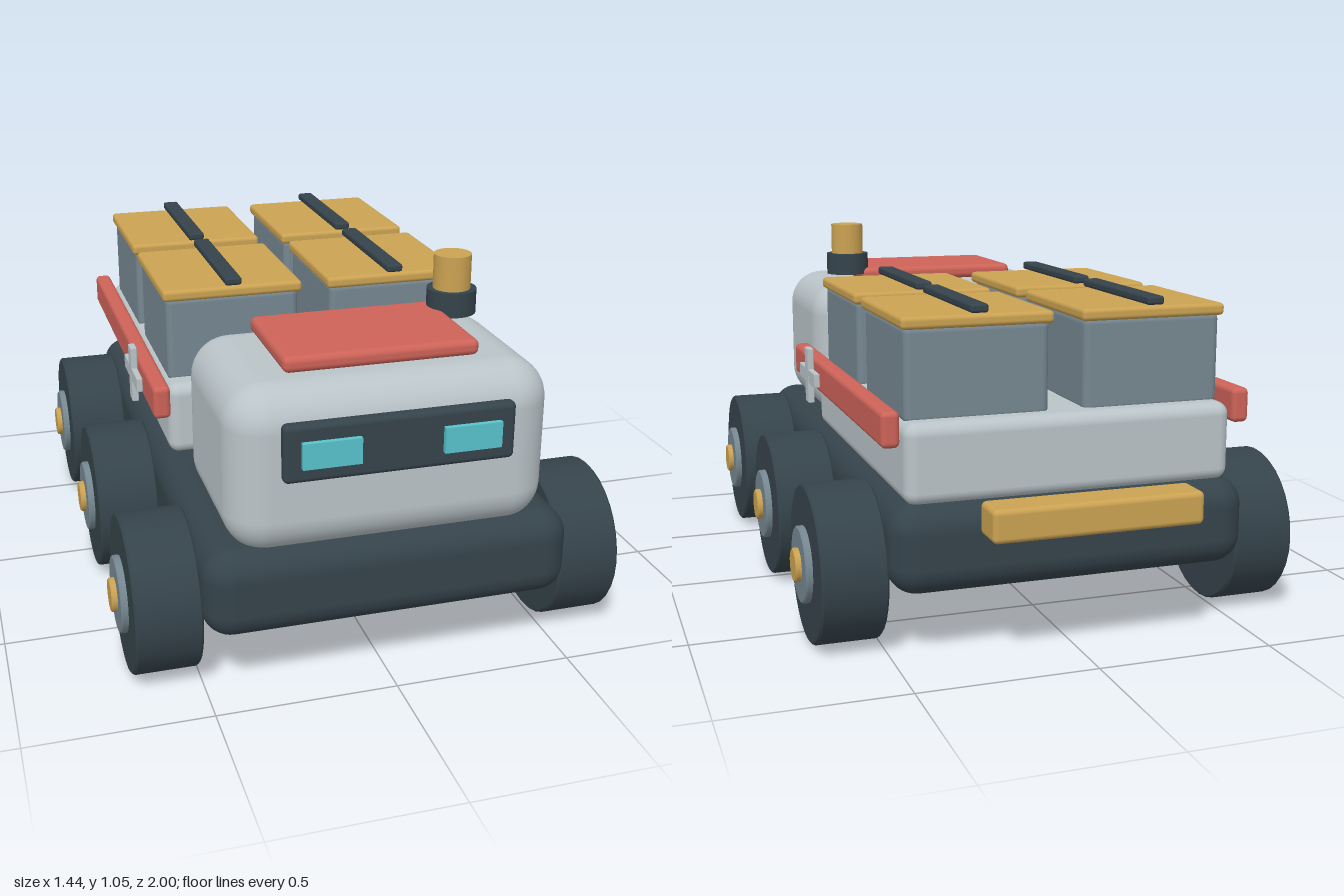
import * as THREE from 'three';
import { RoundedBoxGeometry } from 'three/addons/geometries/RoundedBoxGeometry.js';

const mat = (name, color) => {
  const m = new THREE.MeshStandardMaterial({ color });
  m.name = name;
  return m;
};

export function createModel() {
  const dark = mat('charcoal', 0x35434b);
  const light = mat('pale grey', 0xbac4c8);
  const steel = mat('steel grey', 0x768791);
  const gold = mat('ochre', 0xcba252);
  const red = mat('coral red', 0xcd6358);
  const cyan = mat('lamp cyan', 0x58c3cc);

  const model = new THREE.Group();
  model.name = 'cargoRover';

  const add = (parent, name, geometry, material, x, y, z) => {
    const mesh = new THREE.Mesh(geometry, material);
    mesh.name = name;
    mesh.position.set(x, y, z);
    parent.add(mesh);
    return mesh;
  };
  // Rounded box given by size, centre and edge radius
  const block = (parent, name, material, [w, h, d], [x, y, z], r, seg = 3) =>
    add(parent, name, new RoundedBoxGeometry(w, h, d, seg, r), material, x, y, z);

  // Disc lying along x with a small bevel on its rims
  const disc = (parent, name, material, radius, x0, x1, bevel) => {
    const h = (x1 - x0) / 2;
    const b = bevel;
    const profile = [[0, -h], [radius - b, -h], [radius - b, -h], [radius, -h + b], [radius, -h + b],
      [radius, h - b], [radius, h - b], [radius - b, h], [radius - b, h], [0, h]];
    const geo = new THREE.LatheGeometry(profile.map(p => new THREE.Vector2(...p)), 32);
    geo.rotateZ(-Math.PI / 2);
    return add(parent, name, geo, material, (x0 + x1) / 2, 0, 0);
  };

  // Body
  block(model, 'chassis', dark, [1.02, 0.25, 1.82], [0, 0.305, 0.06], 0.08, 5);
  block(model, 'cabin', light, [0.88, 0.46, 0.56], [0, 0.63, 0.677], 0.11, 6);
  block(model, 'cargoBed', light, [0.93, 0.22, 1.085], [0, 0.53, -0.267], 0.035, 4);
  block(model, 'roofPanel', red, [0.535, 0.045, 0.36], [0, 0.882, 0.65], 0.018);
  block(model, 'rearBumper', gold, [0.585, 0.09, 0.11], [0, 0.407, -0.945], 0.015);

  // Face panel and lamps
  block(model, 'facePanel', dark, [0.62, 0.157, 0.04], [0, 0.705, 0.965], 0.015);
  for (const s of [1, -1]) {
    add(model, s > 0 ? 'leftLamp' : 'rightLamp', new THREE.BoxGeometry(0.155, 0.07, 0.02), cyan, s * 0.188, 0.705, 0.99);
  }

  // Roof beacon
  const beacon = new THREE.Group();
  beacon.name = 'beacon';
  beacon.position.set(0.305, 0, 0.527);
  model.add(beacon);
  add(beacon, 'beaconBase', new THREE.CylinderGeometry(0.07, 0.07, 0.07, 28), dark, 0, 0.92, 0);
  add(beacon, 'beaconLight', new THREE.CylinderGeometry(0.053, 0.053, 0.1, 28), gold, 0, 1.004, 0);

  // Crates with lids and straps, two by two
  for (const x of [-0.25, 0.25]) {
    for (const z of [-0.012, -0.535]) {
      const crate = new THREE.Group();
      crate.name = 'crate';
      crate.position.set(x, 0, z);
      model.add(crate);
      block(crate, 'crateBody', steel, [0.4, 0.26, 0.43], [0, 0.755, 0], 0.02);
      block(crate, 'crateLid', gold, [0.42, 0.034, 0.45], [0, 0.893, 0], 0.012);
      block(crate, 'crateStrap', dark, [0.05, 0.024, 0.456], [0, 0.925, 0], 0.008);
    }
  }

  // Side rails, cross emblems and wheels
  for (const s of [1, -1]) {
    block(model, 'sideRail', red, [0.05, 0.097, 1.165], [s * 0.5, 0.627, -0.215], 0.015);
    block(model, 'crossBar', light, [0.018, 0.043, 0.23], [s * 0.535, 0.62, 0.075], 0.003, 1);
    block(model, 'crossPost', light, [0.02, 0.172, 0.047], [s * 0.535, 0.62, 0.075], 0.003, 1);

    for (const z of [0.69, 0.06, -0.568]) {
      const wheel = new THREE.Group();
      wheel.name = 'wheel';
      wheel.position.set(0, 0.22, z);
      if (s < 0) wheel.rotation.y = Math.PI;
      model.add(wheel);
      disc(wheel, 'tyre', dark, 0.22, 0.505, 0.685, 0.006);
      disc(wheel, 'hub', steel, 0.106, 0.675, 0.704, 0.004);
      disc(wheel, 'hubCap', gold, 0.047, 0.69, 0.72, 0.004);
    }
  }
  return model;
}
